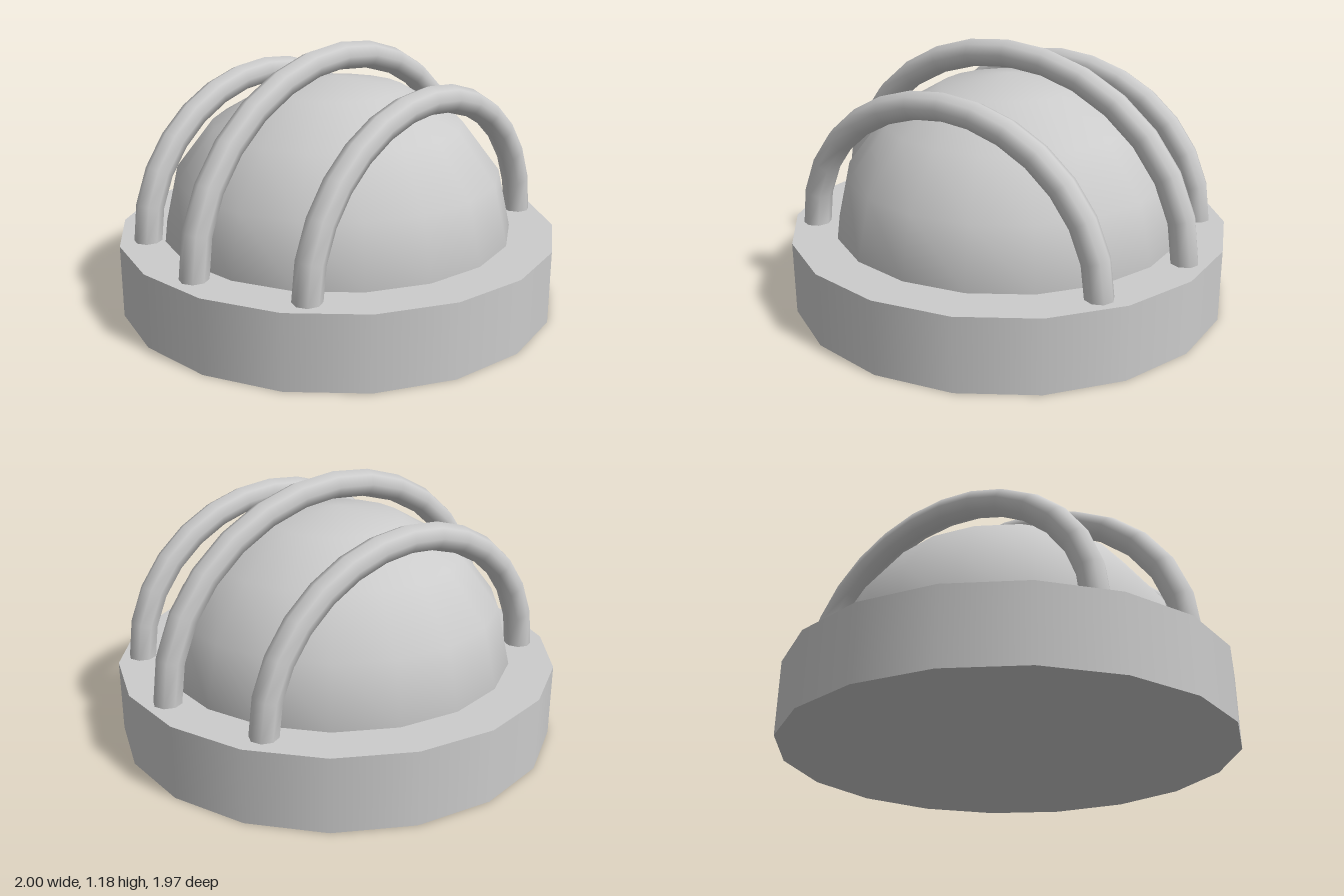
import * as THREE from 'three';

const BASE_HEIGHT = 0.33;
const SIDES = 18;
const material = new THREE.MeshStandardMaterial({ color: 0xcccccc });

// Upright half ellipse in the XY plane, from one foot to the other
class ArchCurve extends THREE.Curve {
  constructor(halfSpan, height) {
    super();
    this.halfSpan = halfSpan;
    this.height = height;
  }
  getPoint(t, target = new THREE.Vector3()) {
    const a = Math.PI * (1 - t);
    return target.set(this.halfSpan * Math.cos(a), this.height * Math.sin(a), 0);
  }
}

function addMesh(parent, name, geometry) {
  const mesh = new THREE.Mesh(geometry, material);
  mesh.name = name;
  parent.add(mesh);
  return mesh;
}

export function createModel() {
  const model = new THREE.Group();
  model.name = 'cagedLamp';

  // Round mounting base
  const base = addMesh(model, 'base',
    new THREE.CylinderGeometry(1, 1, BASE_HEIGHT, SIDES, 1, false, Math.PI / 2));
  base.position.y = BASE_HEIGHT / 2;

  // Slightly flattened dome
  const dome = addMesh(model, 'dome',
    new THREE.SphereGeometry(0.8, SIDES, 4, 0, Math.PI * 2, 0, Math.PI / 2));
  dome.scale.y = 0.875;
  dome.position.y = BASE_HEIGHT;

  // Three parallel guard bars arching diagonally over the dome
  const guard = new THREE.Group();
  guard.name = 'guard';
  guard.position.set(0.012, BASE_HEIGHT, 0.012);
  guard.rotation.y = Math.PI / 6;
  model.add(guard);
  const bars = [
    ['backBar', -0.49, 0.735, 0.66],
    ['middleBar', 0, 0.883, 0.79],
    ['frontBar', 0.49, 0.735, 0.66],
  ];
  for (const [name, offset, halfSpan, height] of bars) {
    const bar = addMesh(guard, name,
      new THREE.TubeGeometry(new ArchCurve(halfSpan, height), 14, 0.062, 8, false));
    bar.position.z = offset;
  }

  return model;
}
